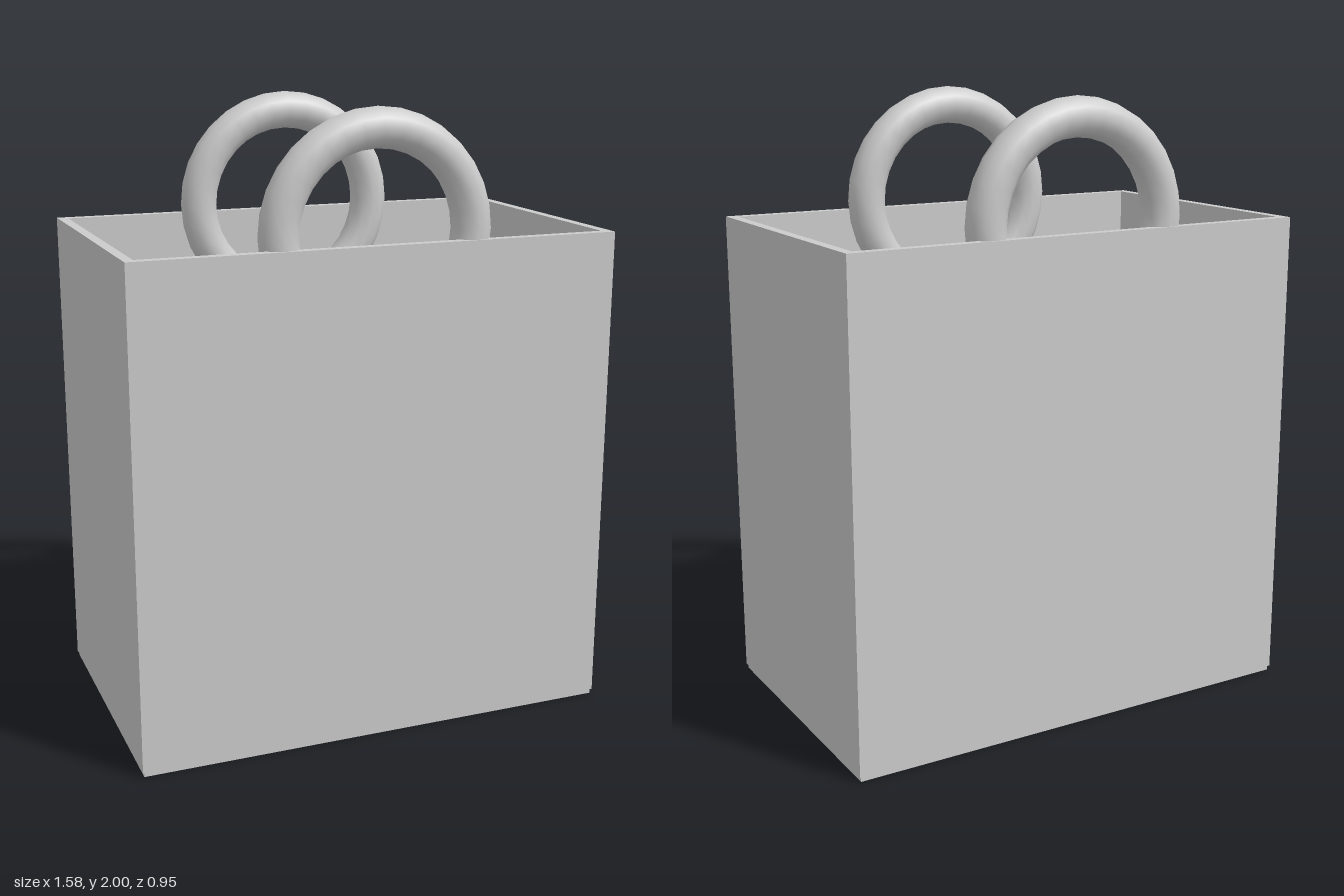
import * as THREE from 'three';

const W = 1.58, D = 0.95, TOP = 1.595, T = 0.032, BASE = 0.016;

export function createModel() {
  const bag = new THREE.Group();
  bag.name = 'shoppingBag';
  const material = new THREE.MeshStandardMaterial({ color: 0xcccccc });

  const add = (name, geometry, x, y, z) => {
    const mesh = new THREE.Mesh(geometry, material);
    mesh.name = name;
    mesh.position.set(x, y, z);
    bag.add(mesh);
  };

  // Floor panel, slightly inset below the walls
  add('floor', new THREE.BoxGeometry(W - 0.01, T, D - 0.01), 0, T / 2, 0);

  // Four thin walls around the open top
  const wallH = TOP - BASE;
  const wallY = BASE + wallH / 2;
  for (const s of [1, -1]) {
    add(s > 0 ? 'frontWall' : 'backWall',
      new THREE.BoxGeometry(W - 2 * T, wallH, T), 0, wallY, s * (D - T) / 2);
    add(s > 0 ? 'leftWall' : 'rightWall',
      new THREE.BoxGeometry(T, wallH, D), s * (W - T) / 2, wallY, 0);
  }

  // Full ring handles, half sunk inside the front and back walls
  const ring = new THREE.TorusGeometry(0.314, 0.062, 12, 32);
  for (const s of [1, -1]) {
    add(s > 0 ? 'frontHandle' : 'backHandle', ring, 0, 1.624, s * 0.409);
  }
  return bag;
}
